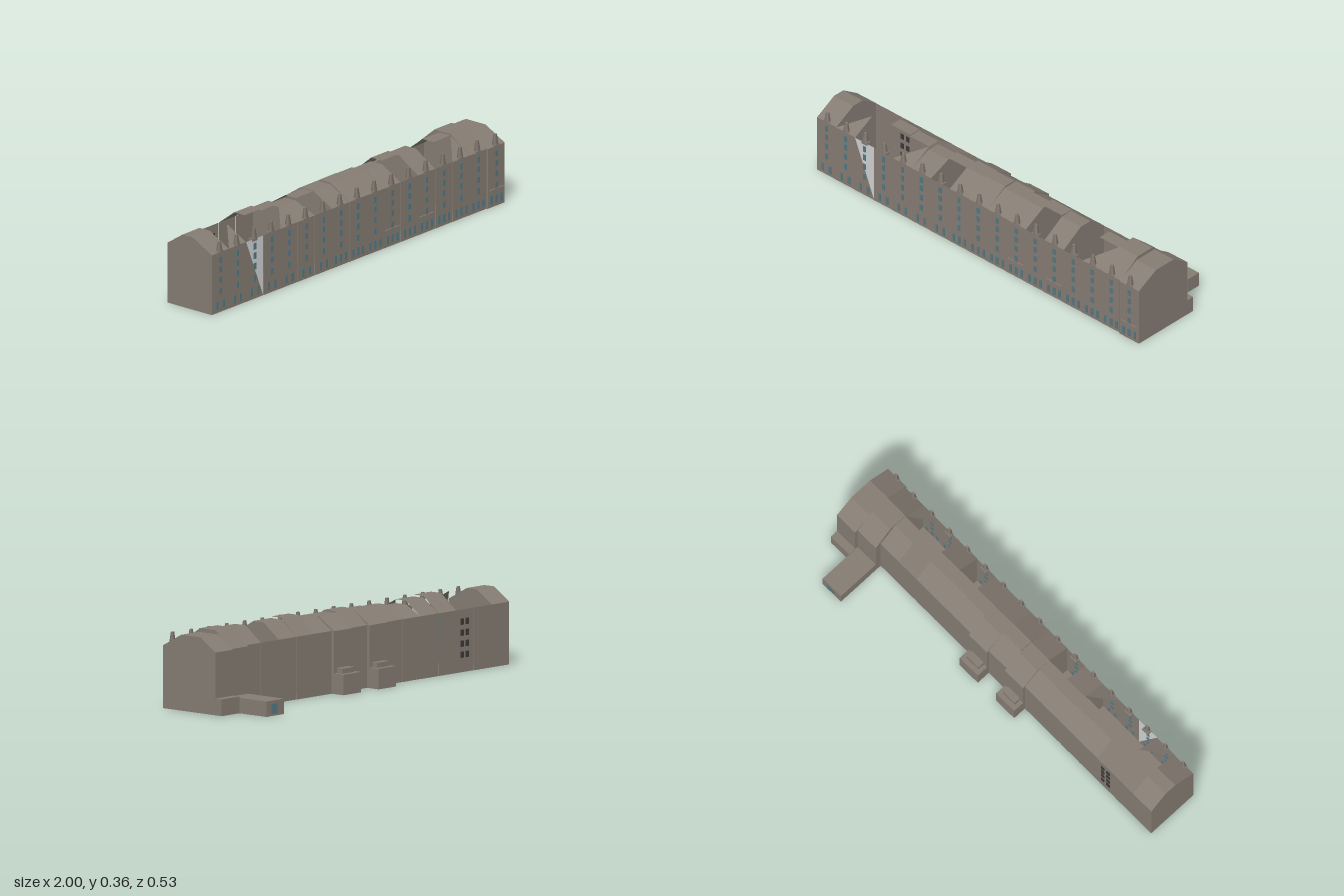
import * as THREE from 'three';

const wallMat = new THREE.MeshStandardMaterial({ name: 'stone', color: 0x857c73, side: THREE.DoubleSide });
const glassMat = new THREE.MeshStandardMaterial({ name: 'blueGlass', color: 0x557883 });
const paleMat = new THREE.MeshStandardMaterial({ name: 'palePanel', color: 0xd0d2d3, side: THREE.DoubleSide });
const darkMat = new THREE.MeshStandardMaterial({ name: 'darkOpening', color: 0x3c3936 });

const BAYS = 17, W = 2 / BAYS, EAVE = 0.285;
// ridge height of each bay; 0 = roof missing
const RIDGE = [0.345, 0.345, 0, 0.355, 0.347, 0.33, 0.342, 0.345, 0.353, 0.345, 0.345, 0.362, 0.355, 0, 0.355, 0.362, 0.345];
// front slope: bays left open, and bays with only half a slope
const OPEN = [3, 6, 11], HALF = [1, 4, 14];

const frontZ = (x) => 0.232 + 0.011 * (x + 1) + (x > 0.88 ? 0.005 : 0);
const backZ = (i, x) => {
  if (i >= 15) return i === 15 ? -0.045 : -0.06;
  return -0.03 + 0.0085 * (x + 1) - (i === 7 || i === 9 ? 0.012 : 0);
};

// flat polygon from 3 or 4 corners, counter-clockwise from outside
function panel(parent, name, mat, ...pts) {
  const g = new THREE.BufferGeometry().setFromPoints(pts.map((p) => new THREE.Vector3(...p)));
  g.setIndex(pts.length === 4 ? [0, 1, 2, 0, 2, 3] : [0, 1, 2]);
  g.computeVertexNormals();
  const m = new THREE.Mesh(g, mat);
  m.name = name;
  parent.add(m);
}

function box(parent, name, mat, x0, x1, y0, y1, z0, z1) {
  const m = new THREE.Mesh(new THREE.BoxGeometry(x1 - x0, y1 - y0, z1 - z0), mat);
  m.position.set((x0 + x1) / 2, (y0 + y1) / 2, (z0 + z1) / 2);
  m.name = name;
  parent.add(m);
}

function gable(parent, x, zf, zb, ridge, side) {
  const s = new THREE.Shape();
  s.moveTo(-zf, 0).lineTo(-zb, 0).lineTo(-zb, EAVE);
  if (ridge) s.lineTo(-zb - 0.09, ridge).lineTo(-zf + 0.112, ridge);
  s.lineTo(-zf, EAVE);
  const m = new THREE.Mesh(new THREE.ShapeGeometry(s).rotateY(Math.PI / 2), wallMat);
  m.position.x = x - side * 0.0005;
  m.name = 'gableWall';
  parent.add(m);
}

function bay(i) {
  const g = new THREE.Group();
  g.name = 'bay';
  const a = -1 + i * W, b = a + W, mid = (a + b) / 2;
  const zf = frontZ(mid), zb = backZ(i, mid), r = RIDGE[i];
  const rf = zf - 0.112, rb = zb + 0.09;

  // walls and floor
  if (i === 2) {
    panel(g, 'frontWall', wallMat, [a, 0, zf], [b, 0, zf], [a, EAVE, zf]);
    panel(g, 'paleWallPanel', paleMat, [b, 0, zf], [b, EAVE, zf], [a, EAVE, zf]);
  } else panel(g, 'frontWall', wallMat, [a, 0, zf], [b, 0, zf], [b, EAVE, zf], [a, EAVE, zf]);
  panel(g, 'backWall', wallMat, [b, 0, zb], [a, 0, zb], [a, EAVE, zb], [b, EAVE, zb]);
  panel(g, 'floor', wallMat, [a, 0, zb], [b, 0, zb], [b, 0, zf], [a, 0, zf]);

  // roof slopes and flat ridge
  if (r) {
    if (HALF.includes(i)) panel(g, 'frontSlope', wallMat, [a, EAVE, zf], [b, EAVE, zf], [b, r, rf]);
    else if (!OPEN.includes(i)) panel(g, 'frontSlope', wallMat, [a, EAVE, zf], [b, EAVE, zf], [b, r, rf], [a, r, rf]);
    if (i !== 1) {
      panel(g, 'ridgeTop', wallMat, [a, r, rf], [b, r, rf], [b, r, rb], [a, r, rb]);
      panel(g, 'backSlope', wallMat, [b, EAVE, zb], [a, EAVE, zb], [a, r, rb], [b, r, rb]);
    }
  }
  // gables close the complete bays
  if (r && !OPEN.includes(i) && !HALF.includes(i)) {
    gable(g, a, zf, zb, r, -1);
    gable(g, b, zf, zb, r, 1);
  }

  // tapered chimney post on a small base
  const post = new THREE.Mesh(new THREE.CylinderGeometry(0.009, 0.018, 0.05, 4).rotateY(Math.PI / 4), wallMat);
  post.scale.z = 0.7;
  post.position.set(mid, 0.31 + 0.0004 * i, zf - 0.006);
  post.name = 'chimneyPost';
  g.add(post);
  box(g, 'chimneyBase', wallMat, mid - 0.018, mid + 0.018, 0.275, 0.29, zf - 0.02, zf + 0.002);

  // window column, then ground-floor windows
  for (const y of [0.25, 0.205, 0.155, 0.1])
    box(g, 'window', glassMat, mid - 0.008, mid + 0.008, y - 0.015, y + 0.015, zf - 0.002, zf + 0.003);
  for (const dx of i >= 7 ? [-0.034, 0, 0.034] : [-0.022, 0.022])
    box(g, 'groundWindow', glassMat, mid + dx - 0.007, mid + dx + 0.007, 0.015, 0.055, zf - 0.002, zf + 0.003);
  if ([10, 12, 16].includes(i))
    box(g, 'ledge', wallMat, a + 0.01, b - 0.01, 0.078, 0.085, zf - 0.002, zf + 0.006);
  return g;
}

export function createModel() {
  const model = new THREE.Group();
  model.name = 'terraceBuilding';
  for (let i = 0; i < BAYS; i++) model.add(bay(i));

  // side returns where neighbouring back walls step
  for (const i of [7, 8, 9, 10, 15, 16]) {
    const x = -1 + i * W, z0 = backZ(i - 1, x - W / 2), z1 = backZ(i, x + W / 2);
    panel(model, 'backReturn', wallMat, [x, 0, z0], [x, 0, z1], [x, EAVE, z1], [x, EAVE, z0]);
  }
  panel(model, 'frontReturn', wallMat, [1 - W, 0, 0.251], [1 - W, 0, 0.259], [1 - W, EAVE, 0.259], [1 - W, EAVE, 0.251]);

  // low annexes at the back
  box(model, 'rearWing', wallMat, 1 - 2 * W, 1 - W, 0, 0.07, -0.263, -0.04);
  box(model, 'rearWingGlass', glassMat, 0.81, 0.85, 0.01, 0.055, -0.265, -0.262);
  box(model, 'endAnnex', wallMat, 1 - W, 1, 0, 0.076, -0.099, -0.055);
  for (const i of [7, 9]) {
    const x = -1 + i * W;
    box(model, 'rearAnnex', wallMat, x, x + W, 0, 0.093, -0.09, -0.025);
    box(model, 'rearAnnexStep', wallMat, x + 0.02, x + W - 0.02, 0.09, 0.116, -0.067, -0.025);
  }

  // stair windows on the back wall
  for (const x of [-0.72, -0.685])
    for (const y of [0.08, 0.13, 0.18, 0.23])
      box(model, 'backWindow', darkMat, x - 0.01, x + 0.01, y - 0.014, y + 0.014, -0.031, -0.026);
  return model;
}
